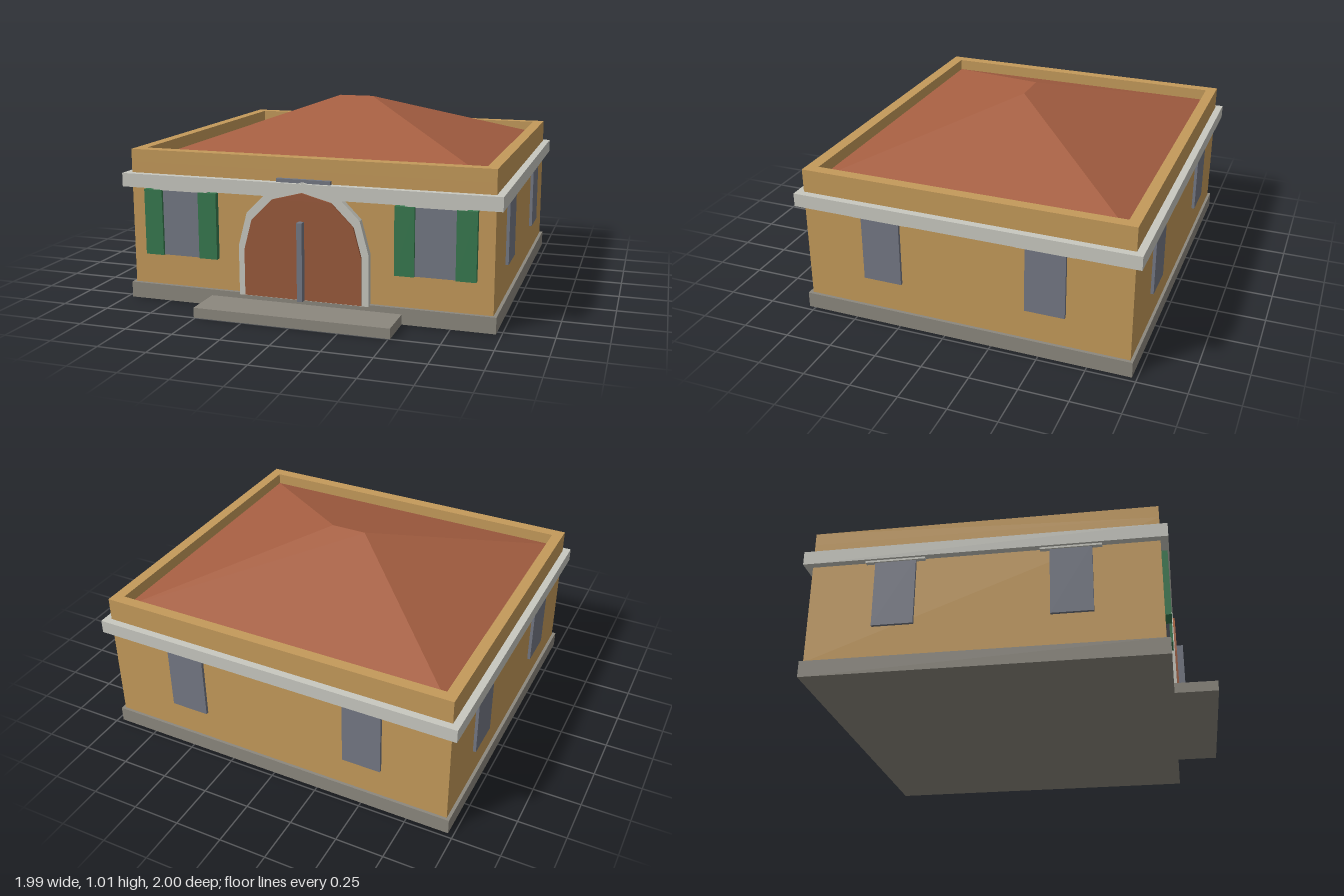
import * as THREE from 'three';

const mat = (name, color) => {
  const m = new THREE.MeshStandardMaterial({ color });
  m.name = name;
  return m;
};

export function createModel() {
  const house = new THREE.Group();
  house.name = 'house';
  const ochre = mat('ochre plaster', 0xc49a5a);
  const stone = mat('grey stone', 0x8c887e);
  const trim = mat('pale trim', 0xc8c8c0);
  const tile = mat('terracotta tile', 0xa65f42);
  const wood = mat('red brown wood', 0x9a5a3c);
  const slate = mat('slate grey', 0x747884);
  const green = mat('shutter green', 0x37794f);

  const add = (name, geometry, material, parent = house) => {
    const mesh = new THREE.Mesh(geometry, material);
    mesh.name = name;
    parent.add(mesh);
    return mesh;
  };
  // Box given by its limits on each axis
  const box = (name, material, [x0, x1], [y0, y1], [z0, z1], parent) => {
    const mesh = add(name, new THREE.BoxGeometry(x1 - x0, y1 - y0, z1 - z0), material, parent);
    mesh.position.set((x0 + x1) / 2, (y0 + y1) / 2, (z0 + z1) / 2);
    return mesh;
  };

  // Plinth, doorstep, walls and cornice
  box('plinth', stone, [-0.972, 0.972], [0, 0.083], [-0.975, 0.785]);
  box('doorstep', stone, [-0.508, 0.508], [0, 0.052], [0.77, 1]);
  box('walls', ochre, [-0.955, 0.955], [0.083, 0.732], [-0.96, 0.765]);
  box('cornice', trim, [-0.993, 0.993], [0.602, 0.673], [-0.998, 0.803]);

  // Parapet ring around the roof
  const rect = (C, x, z0, z1) => new C([[-x, z0], [x, z0], [x, z1], [-x, z1]].map(p => new THREE.Vector2(...p)));
  const ring = rect(THREE.Shape, 0.955, -0.765, 0.96);
  ring.holes.push(rect(THREE.Path, 0.897, -0.703, 0.903));
  const parapet = add('parapet', new THREE.ExtrudeGeometry(ring, { depth: 0.064, bevelEnabled: false }), ochre);
  parapet.rotation.x = -Math.PI / 2;
  parapet.position.y = 0.732;

  // Hipped roof: a box whose top is drawn in to a short ridge
  const roofGeo = new THREE.BoxGeometry(1.8, 0.282, 1.61).toNonIndexed();
  const p = roofGeo.attributes.position;
  for (let i = 0; i < p.count; i++) {
    if (p.getY(i) > 0) {
      p.setX(i, Math.sign(p.getX(i)) * 0.095);
      p.setZ(i, Math.sign(p.getZ(i)) * 0.001);
    }
  }
  roofGeo.computeVertexNormals();
  add('roof', roofGeo, tile).position.set(0, 0.874, -0.1);

  // Windows, placed on a wall and turned to face outwards
  const addWindow = (x, z, turn, shutters) => {
    const g = new THREE.Group();
    g.name = shutters ? 'shutteredWindow' : 'window';
    box('pane', slate, [-0.103, 0.103], [0.248, 0.604], [-0.01, 0.016], g);
    box('lintel', trim, [-0.15, 0.15], [0.592, 0.61], [-0.01, 0.024], g);
    if (shutters) {
      for (const s of [-0.152, 0.152]) {
        box('shutter', green, [s - 0.05, s + 0.05], [0.248, 0.594], [-0.01, 0.03], g);
      }
    }
    g.position.set(x, 0, z);
    g.rotation.y = turn;
    house.add(g);
  };
  for (const s of [-1, 1]) {
    addWindow(s * 0.671, 0.765, 0, true);
    addWindow(s * 0.5, -0.96, Math.PI, false);
    for (const z of [0.337, -0.53]) addWindow(s * 0.955, z, s * Math.PI / 2, false);
  }

  // Arched outline with six straight segments
  const archPoints = (r, cy, y0) => {
    const pts = [new THREE.Vector2(-r, y0), new THREE.Vector2(r, y0)];
    for (let i = 0; i <= 6; i++) {
      const a = i * Math.PI / 6;
      pts.push(new THREE.Vector2(r * Math.cos(a), cy + r * Math.sin(a)));
    }
    return pts;
  };
  const slab = (name, shape, material, z0, z1) => {
    const geo = new THREE.ExtrudeGeometry(shape, { depth: z1 - z0, bevelEnabled: false });
    add(name, geo, material).position.z = z0;
  };

  // Door surround, door and centre post
  const surround = new THREE.Shape(archPoints(0.343, 0.337, 0.078));
  slab('doorSurround', surround, trim, 0.75, 0.801);
  slab('door', new THREE.Shape(archPoints(0.308, 0.322, 0.083)), wood, 0.76, 0.812);
  box('doorPost', slate, [-0.014, 0.014], [0.085, 0.487], [0.8, 0.848]);

  // Plaque standing on the cornice above the door
  box('plaque', slate, [-0.142, 0.142], [0.66, 0.692], [0.755, 0.785]);

  return house;
}
